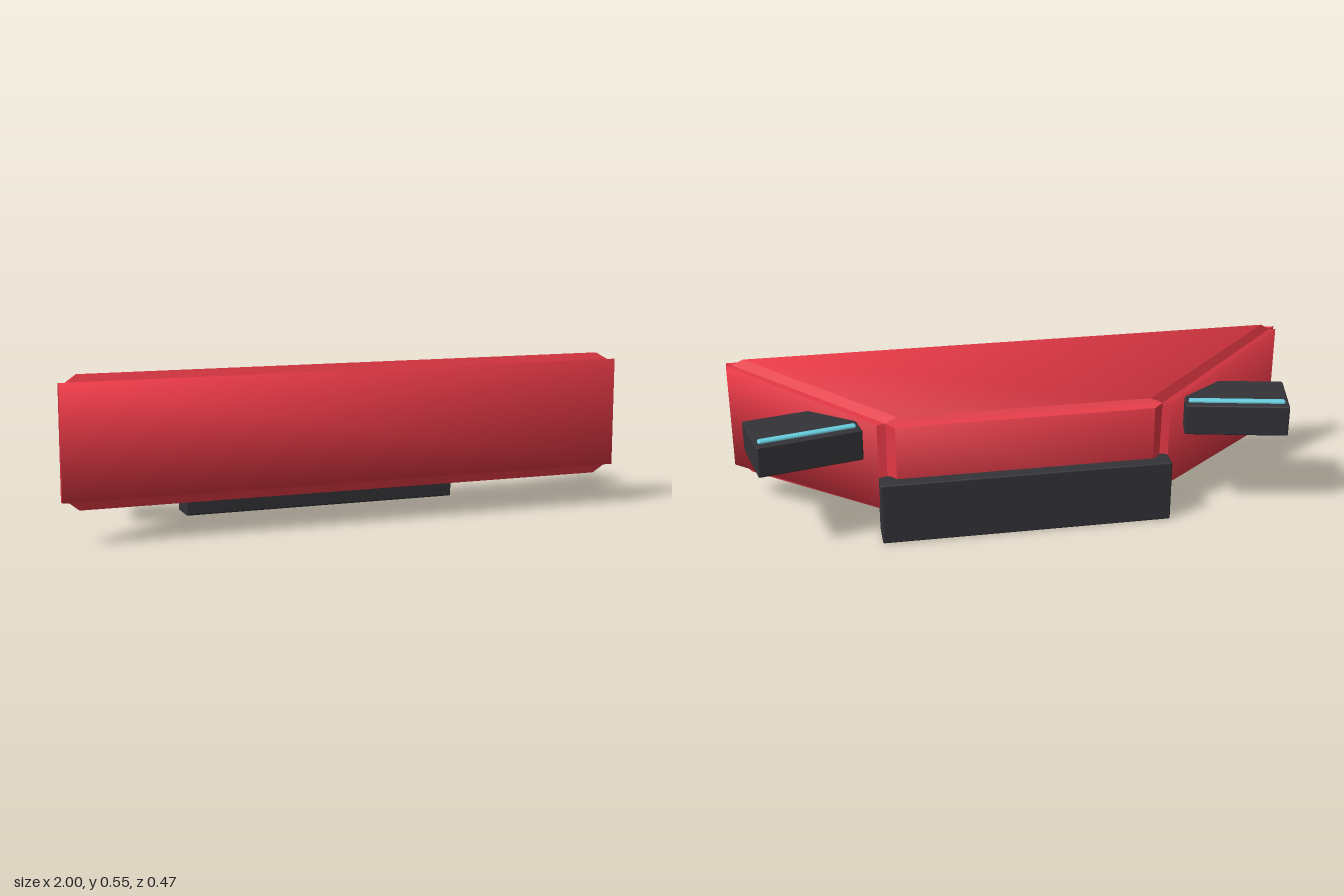
import * as THREE from 'three';
import { RoundedBoxGeometry } from 'three/addons/geometries/RoundedBoxGeometry.js';

const red = new THREE.MeshStandardMaterial({ color: 0xe63946 });
const dark = new THREE.MeshStandardMaterial({ color: 0x333338 });
const blue = new THREE.MeshStandardMaterial({ color: 0x66ccdd });

// Corner of the tapered body, at the bottom of the grooves between panels
function grooveCorner([sx, sy, sz]) {
  const top = sy > 0;
  return sz > 0
    ? new THREE.Vector3(0.98 * sx, top ? 0.527 : 0.145, 0.22)
    : new THREE.Vector3(0.48 * sx, top ? 0.43 : 0.1, top ? -0.14 : -0.12);
}

// Raised panels: corner signs counter-clockwise from outside, and corner position
const panels = [
  { // front
    loop: [[-1, -1, 1], [1, -1, 1], [1, 1, 1], [-1, 1, 1]],
    at: (x, y) => [x, y > 0 ? 0.53 : 0.145, 0.235],
  },
  { // back
    loop: [[1, -1, -1], [-1, -1, -1], [-1, 1, -1], [1, 1, -1]],
    at: (x, y) => [0.45 * x, y > 0 ? 0.42 : 0.11, -0.157],
  },
  { // top
    loop: [[-1, 1, 1], [1, 1, 1], [1, 1, -1], [-1, 1, -1]],
    at: (x, y, z) => (z > 0 ? [0.94 * x, 0.552, 0.205] : [0.44 * x, 0.445, -0.128]),
  },
  { // bottom
    loop: [[-1, -1, -1], [1, -1, -1], [1, -1, 1], [-1, -1, 1]],
    at: (x, y, z) => (z > 0 ? [0.94 * x, 0.112, 0.205] : [0.5 * x, 0.08, -0.095]),
  },
];
for (const s of [1, -1]) { // slanted ends
  panels.push({
    loop: [[s, -1, s], [s, -1, -s], [s, 1, -s], [s, 1, s]],
    at: (x, y, z) => (z > 0
      ? [x, y > 0 ? 0.527 : 0.143, 0.212]
      : [0.51 * x, y > 0 ? 0.422 : 0.105, -0.133]),
  });
}

function bodyGeometry() {
  const positions = [], normals = [];
  const faceNormal = (a, b, c) => b.clone().sub(a).cross(c.clone().sub(a)).normalize();
  const quad = (p, n) => {
    for (const i of [0, 1, 3, 1, 2, 3]) {
      positions.push(...p[i]);
      normals.push(...(Array.isArray(n) ? n[i] : n));
    }
  };

  // Panel normals are averaged at each corner for soft shading
  const cornerNormals = {};
  const built = panels.map(({ loop, at }) => {
    const p = loop.map((c) => new THREE.Vector3(...at(...c)));
    const n = faceNormal(p[0], p[1], p[2]);
    for (const c of loop) (cornerNormals[c] ??= new THREE.Vector3()).add(n);
    return { loop, p };
  });
  for (const n of Object.values(cornerNormals)) n.normalize();

  for (const { loop, p } of built) {
    quad(p, loop.map((c) => cornerNormals[c]));
    const base = loop.map(grooveCorner);
    for (let i = 0; i < 4; i++) { // groove walls
      const j = (i + 1) % 4;
      quad([base[i], base[j], p[j], p[i]], faceNormal(base[i], base[j], p[j]));
    }
  }
  const g = new THREE.BufferGeometry();
  g.setAttribute('position', new THREE.Float32BufferAttribute(positions, 3));
  g.setAttribute('normal', new THREE.Float32BufferAttribute(normals, 3));
  return g;
}

function block(name, material, size, radius, position) {
  const mesh = new THREE.Mesh(new RoundedBoxGeometry(...size, 3, radius), material);
  mesh.name = name;
  mesh.position.set(...position);
  return mesh;
}

export function createModel() {
  const model = new THREE.Group();
  model.name = 'bumper';

  const body = new THREE.Mesh(bodyGeometry(), red);
  body.name = 'body';
  model.add(body);

  // Lower rear block
  model.add(block('rearBlock', dark, [1.02, 0.225, 0.11], 0.006, [0, 0.1125, -0.145]));

  // Angled side pods, each with a light strip
  for (const s of [1, -1]) {
    const pod = new THREE.Group();
    pod.name = s > 0 ? 'leftPod' : 'rightPod';
    pod.position.set(0.757 * s, 0.366, -0.09);
    pod.rotation.y = 0.21 * s;
    pod.add(block('podHousing', dark, [0.36, 0.112, 0.22], 0.006, [0, 0, 0]));
    pod.add(block('lightStrip', blue, [0.335, 0.02, 0.024], 0.008, [0, 0.056, -0.072]));
    model.add(pod);
  }
  return model;
}
